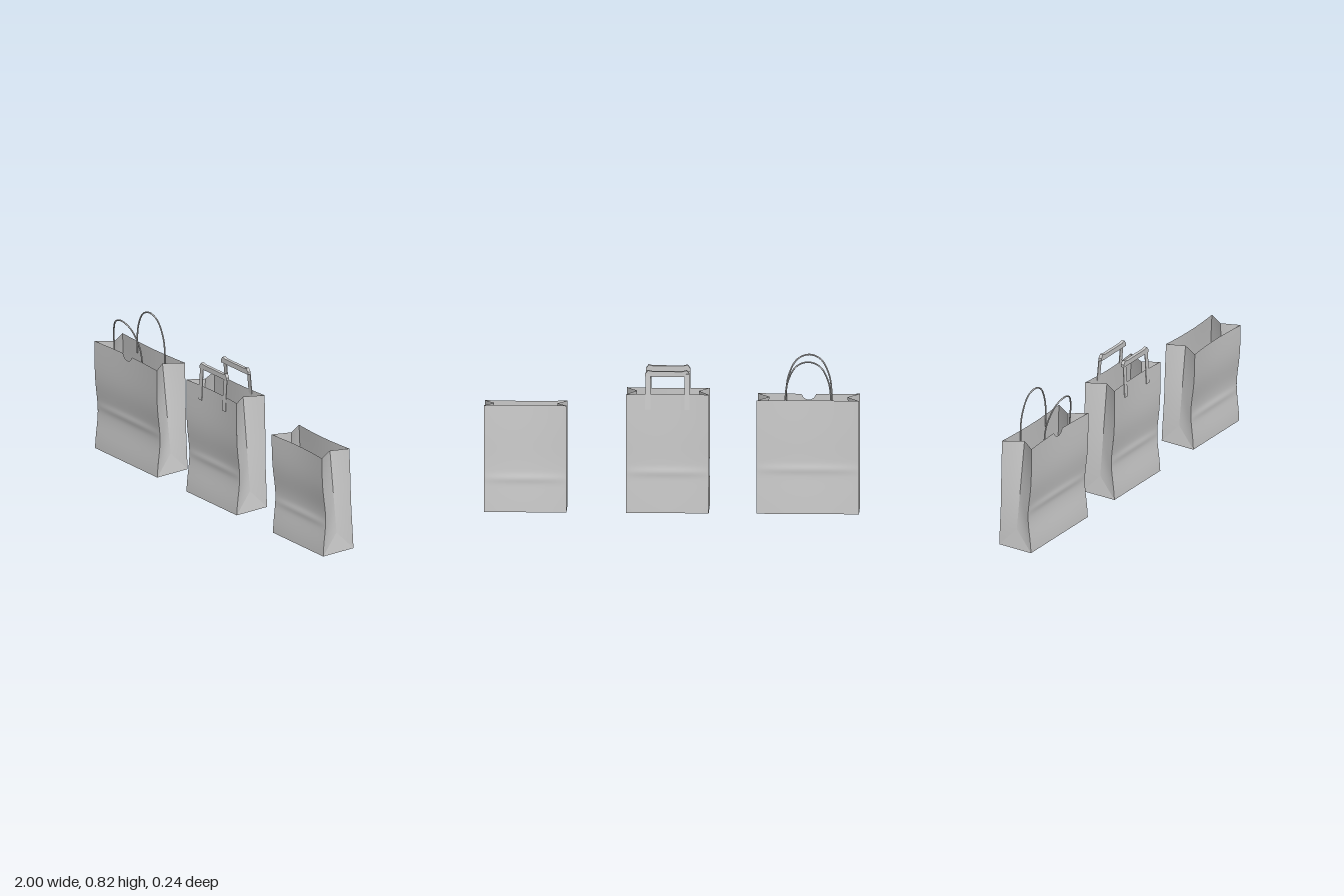
import * as THREE from 'three';

const paper = new THREE.MeshStandardMaterial({ color: 0xcccccc, side: THREE.DoubleSide });
const { lerp } = THREE.MathUtils;
const bell = (y, c, w) => Math.exp(-(((y - c) / w) ** 2) / 2);

function add(parent, name, geometry) {
  const mesh = new THREE.Mesh(geometry, paper);
  mesh.name = name;
  parent.add(mesh);
  return mesh;
}

// Paper sheet: a grid whose vertices follow rule(u, v) -> [x, y, z]
function sheet(nu, nv, rule) {
  const g = new THREE.PlaneGeometry(1, 1, nu, nv);
  const p = g.attributes.position;
  for (let i = 0; i < p.count; i++) p.setXYZ(i, ...rule(p.getX(i) + 0.5, p.getY(i) + 0.5));
  g.computeVertexNormals();
  return g;
}

// Gusseted bag; x0..x1 is the width, crease the height of the fold mark
function makeBag(name, { x0, x1, front, back, crease, inset, notch = 0 }) {
  const bag = new THREE.Group();
  bag.name = name;
  const cx = (x0 + x1) / 2;
  const apexY = 0.11;

  // Depth of the corner edges at height fraction t
  const frontZ = (t) => lerp(0.087, front.z, t) - 0.021 * bell(t * front.h, 0.21, 0.1);
  const backZ = (t) => lerp(-0.118, back.z, t) + 0.003 * bell(t * back.h, 0.25, 0.1);

  // Large panels, bowed inward towards the rim, with a soft crease
  const panel = (top, edgeZ, sign, cut) => sheet(110, 60, (u, v) => {
    const x = lerp(x0, x1, u);
    const d = x - cx;
    const rim = top.h - (Math.abs(d) < cut ? Math.sqrt(cut * cut - d * d) * 0.85 : 0);
    const y = Math.min(v * top.h, rim);
    const t = y / top.h;
    const mid = Math.sin(Math.PI * u);
    const ridge = 0.004 * Math.sqrt(mid) * bell(y, crease, 0.014);
    return [x, y, edgeZ(t) + sign * (ridge - 0.012 * mid * t)];
  });
  add(bag, 'frontPanel', panel(front, frontZ, 1, notch));
  add(bag, 'backPanel', panel(back, backZ, -1, 0));

  // Folded side gussets: two halves and a bottom triangle on each side
  for (const [side, edge, s] of [['right', x0, 1], ['left', x1, -1]]) {
    const foldH = (front.h + back.h) / 2;
    for (const [half, top, edgeZ] of [['Front', front, frontZ], ['Back', back, backZ]]) {
      add(bag, side + 'Gusset' + half, sheet(6, 30, (u, v) => [
        edge + s * u * lerp(0.014, inset, v),
        lerp(apexY * u, lerp(top.h, foldH, u), v),
        lerp(edgeZ(v), lerp(-0.015, 0, v), u),
      ]));
    }
    const tri = new THREE.BufferGeometry().setFromPoints([
      new THREE.Vector3(edge, 0, frontZ(0)),
      new THREE.Vector3(edge, 0, backZ(0)),
      new THREE.Vector3(edge + s * 0.014, apexY, -0.015),
    ]);
    tri.computeVertexNormals();
    add(bag, side + 'GussetFoot', tri);
  }

  // Floor
  add(bag, 'bottom', sheet(1, 1, (u, v) => [lerp(x0, x1, u), 0, lerp(frontZ(0), backZ(0), v)]));
  return bag;
}

// Cord loop standing inside the rim
function cordHandle(bag, name, cx, legZ, topZ) {
  const half = [[0.12, 0.55, 0], [0.12, 0.64, 0.08], [0.107, 0.715, 0.35], [0.064, 0.793, 0.8]];
  const at = (s) => ([x, y, k]) => new THREE.Vector3(cx + s * x, y, lerp(legZ, topZ, k));
  const path = new THREE.CatmullRomCurve3([
    ...half.map(at(-1)),
    new THREE.Vector3(cx, 0.818, topZ),
    ...half.map(at(1)).reverse(),
  ]);
  add(bag, name, new THREE.TubeGeometry(path, 64, 0.0042, 8));
}

// Flat paper strap: two leaning legs and a folded grip with clipped corners
function strapHandle(bag, name, cx, lowZ, highZ, gripZ) {
  const handle = new THREE.Group();
  handle.name = name;
  for (const s of [-1, 1]) {
    const leg = new THREE.BoxGeometry(0.027, 0.19, 0.004);
    leg.translate(cx + s * 0.104, 0.655, 0);
    const p = leg.attributes.position;
    for (let i = 0; i < p.count; i++) {
      p.setZ(i, p.getZ(i) + lerp(lowZ, highZ, (p.getY(i) - 0.56) / 0.19));
    }
    leg.computeVertexNormals();
    add(handle, 'strapLeg', leg);
  }
  const outline = new THREE.Shape([
    [-0.118, 0.735], [0.118, 0.735], [0.118, 0.75], [0.104, 0.769], [0.08, 0.763],
    [-0.08, 0.763], [-0.104, 0.769], [-0.118, 0.75],
  ].map(([x, y]) => new THREE.Vector2(x, y)));
  const grip = new THREE.ExtrudeGeometry(outline, { depth: 0.018, bevelEnabled: false });
  grip.translate(cx, 0, gripZ - 0.009);
  add(handle, 'strapGrip', grip);
  bag.add(handle);
}

export function createModel() {
  const model = new THREE.Group();
  model.name = 'paperBags';

  // Wide bag with cord handles and a thumb notch
  const cordBag = makeBag('cordHandleBag', {
    x0: -1, x1: -0.455, crease: 0.24, inset: 0.065, notch: 0.036,
    front: { h: 0.612, z: 0.088 }, back: { h: 0.612, z: -0.1 },
  });
  cordHandle(cordBag, 'frontCord', -0.728, 0.069, 0.116);
  cordHandle(cordBag, 'backCord', -0.728, -0.083, -0.075);

  // Tall bag with flat strap handles
  const strapBag = makeBag('strapHandleBag', {
    x0: -0.2, x1: 0.24, crease: 0.22, inset: 0.055,
    front: { h: 0.64, z: 0.085 }, back: { h: 0.642, z: -0.102 },
  });
  strapHandle(strapBag, 'frontStrap', 0.021, 0.0815, 0.07, 0.067);
  strapHandle(strapBag, 'backStrap', 0.021, -0.101, -0.084, -0.076);

  // Plain short bag
  const plainBag = makeBag('plainBag', {
    x0: 0.557, x1: 0.997, crease: 0.18, inset: 0.052,
    front: { h: 0.563, z: 0.094 }, back: { h: 0.575, z: -0.09 },
  });

  model.add(cordBag, strapBag, plainBag);
  return model;
}
